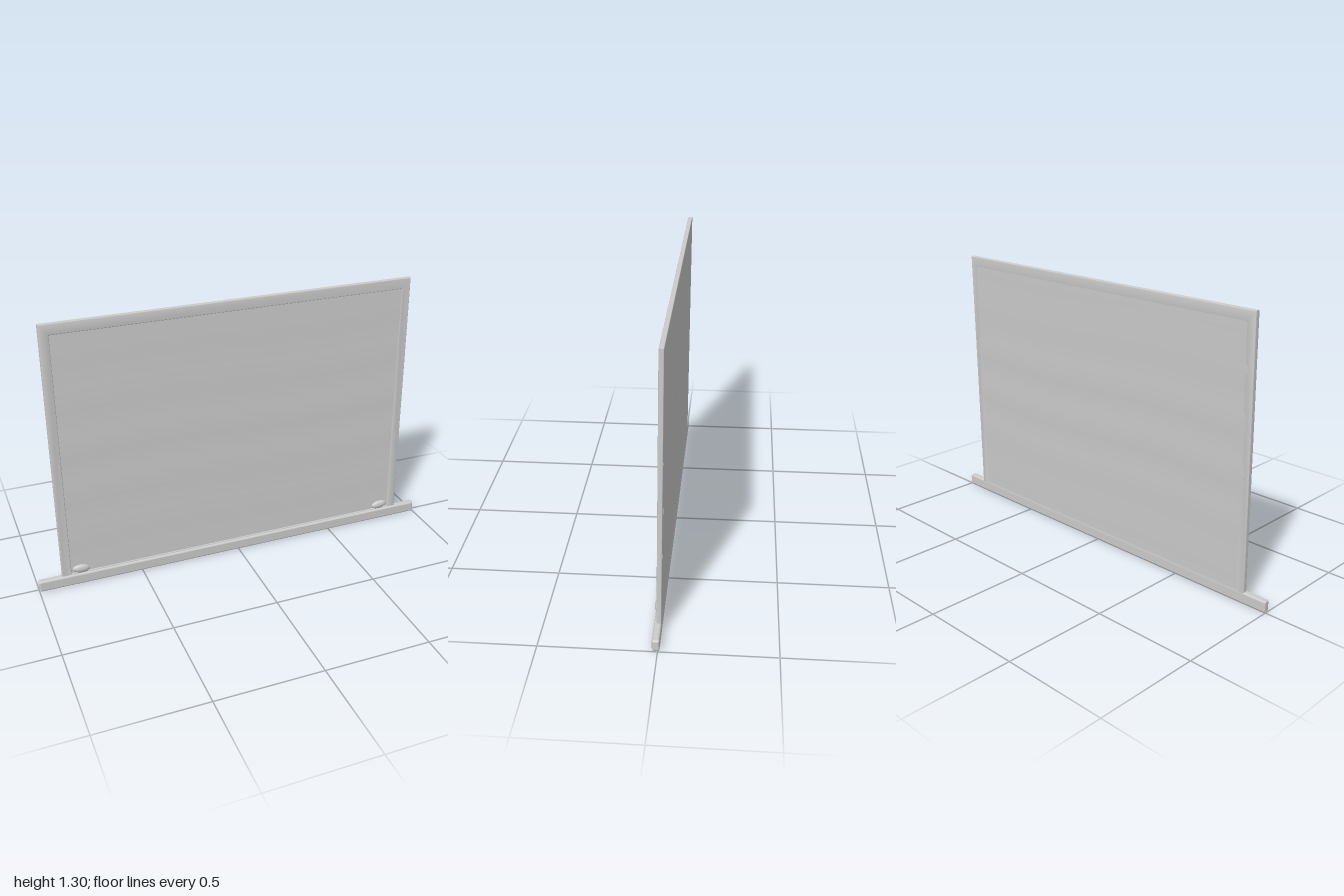
import * as THREE from 'three';
import { toCreasedNormals } from 'three/addons/utils/BufferGeometryUtils.js';
import { RoundedBoxGeometry } from 'three/addons/geometries/RoundedBoxGeometry.js';

const material = new THREE.MeshStandardMaterial({ color: 0xcccccc });

function addPart(parent, name, geometry, x = 0, y = 0, z = 0) {
  const mesh = new THREE.Mesh(geometry, material);
  mesh.name = name;
  mesh.position.set(x, y, z);
  parent.add(mesh);
  return mesh;
}

function rectangle(target, x0, y0, x1, y1) {
  target.moveTo(x0, y0);
  target.lineTo(x1, y0);
  target.lineTo(x1, y1);
  target.lineTo(x0, y1);
  target.closePath();
  return target;
}

// Raised border with softened edges, centred on z = 0
function frameGeometry() {
  const thickness = 0.022, bevel = 0.005;
  const shape = rectangle(new THREE.Shape(), -0.888, 0, 0.888, 1.27);
  shape.holes.push(rectangle(new THREE.Path(), -0.843, 0.03, 0.843, 1.218));
  const geometry = new THREE.ExtrudeGeometry(shape, {
    depth: thickness - 2 * bevel,
    bevelThickness: bevel, bevelSize: bevel, bevelOffset: -bevel, bevelSegments: 3,
  });
  geometry.translate(0, 0, -thickness / 2 + bevel);
  return toCreasedNormals(geometry, 0.7);
}

// Thin sheet with faint horizontal ripples
function sheetGeometry() {
  const geometry = new THREE.BoxGeometry(1.72, 1.22, 0.0165, 24, 60, 1);
  const p = geometry.attributes.position;
  for (let i = 0; i < p.count; i++) {
    const fade = Math.cos((p.getY(i) / 1.22) * Math.PI);
    const wave = Math.sin(p.getY(i) * 27 + Math.sin(p.getX(i) * 4) * 0.4);
    p.setZ(i, p.getZ(i) + 0.0008 * wave * fade);
  }
  geometry.computeVertexNormals();
  return toCreasedNormals(geometry, 0.7);
}

export function createModel() {
  const model = new THREE.Group();
  model.name = 'framedPanel';

  // Panel leans slightly backwards out of the base bar
  const panel = new THREE.Group();
  panel.name = 'panel';
  panel.position.set(0, 0.03, 0.004);
  panel.rotation.x = -0.0148;
  model.add(panel);
  addPart(panel, 'frame', frameGeometry());
  addPart(panel, 'sheet', sheetGeometry(), 0, 0.625, -0.0024);

  // Base bar, wider than the panel
  addPart(model, 'baseBar', new RoundedBoxGeometry(2, 0.055, 0.032, 4, 0.009), 0, 0.0275, 0.008);

  // Small oval knobs at the lower corners
  for (const [name, side] of [['leftKnob', 1], ['rightKnob', -1]]) {
    const knob = addPart(model, name, new THREE.SphereGeometry(1, 24, 16), side * 0.795, 0.08, 0.014);
    knob.scale.set(0.042, 0.021, 0.014);
    knob.rotation.z = side * 0.1;
  }
  return model;
}
